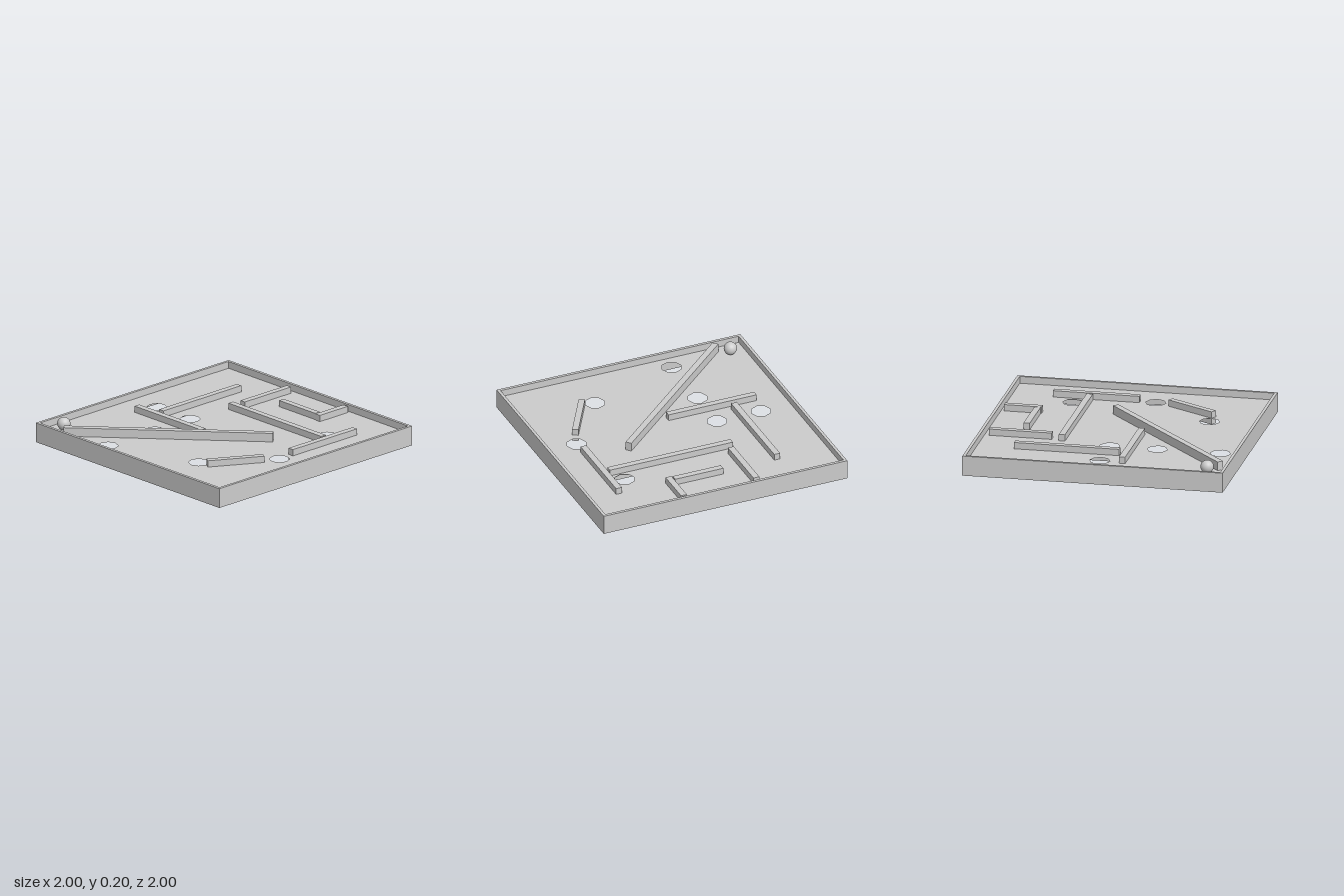
import * as THREE from 'three';

export function createModel() {
  const model = new THREE.Group();
  const grey = new THREE.MeshStandardMaterial({ color: 0xcccccc, flatShading: true });
  const smooth = new THREE.MeshStandardMaterial({ color: 0xcccccc });
  const thin = new THREE.MeshStandardMaterial({ color: 0xcccccc, side: THREE.DoubleSide });
  const FLOOR = 0.1, RIM = 0.154, INNER = 0.977;

  const add = (name, geometry, material) => {
    const mesh = new THREE.Mesh(geometry, material);
    mesh.name = name;
    model.add(mesh);
    return mesh;
  };

  const square = (Type, h) => {
    const s = new Type();
    s.moveTo(-h, -h).lineTo(h, -h).lineTo(h, h).lineTo(-h, h).closePath();
    return s;
  };

  // Square frame, open at top and bottom
  const frame = square(THREE.Shape, 1);
  frame.holes.push(square(THREE.Path, INNER));
  const frameGeo = new THREE.ExtrudeGeometry(frame, { depth: RIM, bevelEnabled: false });
  add('frame', frameGeo.rotateX(-Math.PI / 2), grey);

  // Thin floor with octagonal holes, given as [x, z]
  const floor = square(THREE.Shape, INNER);
  const holes = [[-0.73, 0], [-0.37, 0], [0.605, -0.49], [0.73, 0.12],
    [-0.37, 0.365], [0.365, 0.61], [-0.37, 0.85]];
  for (const [x, z] of holes) {
    const points = [];
    for (let i = 0; i < 8; i++) {
      const a = -i * Math.PI / 4;
      points.push(new THREE.Vector2(x + 0.077 * Math.cos(a), -z + 0.077 * Math.sin(a)));
    }
    floor.holes.push(new THREE.Path(points));
  }
  add('floor', new THREE.ShapeGeometry(floor).rotateX(-Math.PI / 2), thin).position.y = FLOOR;

  // Maze walls run between two end points and pass through the floor
  const wall = (name, x1, z1, x2, z2, y = FLOOR) => {
    const length = Math.hypot(x2 - x1, z2 - z1);
    const mesh = add(name, new THREE.BoxGeometry(length, 0.1, 0.048), grey);
    mesh.position.set((x1 + x2) / 2, y, (z1 + z2) / 2);
    mesh.rotation.y = -Math.atan2(z2 - z1, x2 - x1);
  };
  const walls = [
    [-0.28, -0.94, -0.28, -0.46],
    [0.322, -0.955, 0.322, -0.665],
    [-0.105, -0.695, 0.29, -0.695],
    [-0.56, -0.69, -0.56, 0.117],
    [-0.323, -0.378, 0.687, -0.378],
    [0.727, -0.665, 0.727, 0],
    [-0.762, 0.177, -0.04, 0.177],
    [0.687, 0.243, 0.468, 0.62],
  ];
  walls.forEach((w, i) => wall('mazeWall' + (i + 1), ...w));
  wall('diagonalWall', -0.767, 0.933, 0.41, -0.12, 0.118);

  // Ball resting on the floor
  add('ball', new THREE.SphereGeometry(0.05, 32, 20), smooth).position.set(-0.853, FLOOR + 0.05, 0.85);

  return model;
}
